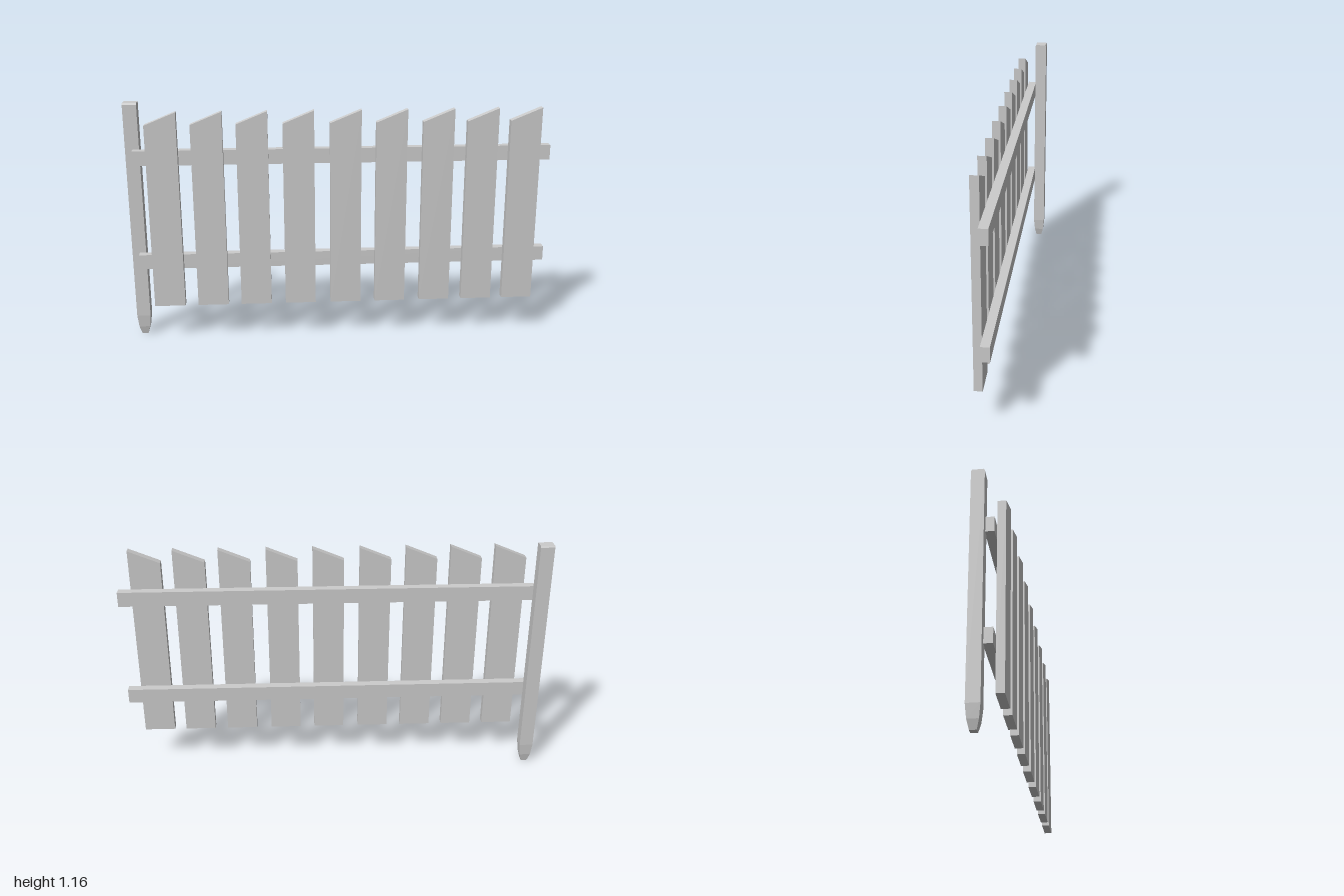
import * as THREE from 'three';

const material = new THREE.MeshStandardMaterial({ color: 0xcccccc, flatShading: true });

function addMesh(group, name, geometry, x, y, z) {
  const mesh = new THREE.Mesh(geometry, material);
  mesh.name = name;
  mesh.position.set(x, y, z);
  group.add(mesh);
}

// Square post: each section gives height and the scale of its width and depth
function postGeometry(width, depth) {
  const sections = [
    [0, 0.46, 0.5],
    [0.04, 0.8, 0.82],
    [0.1, 1, 1],
    [1.15, 1, 1],
    [1.157, 1, 0.86],
  ];
  const steps = sections.length - 1;
  const box = new THREE.BoxGeometry(width, 1, depth, 1, steps, 1);
  const pos = box.attributes.position;
  for (let i = 0; i < pos.count; i++) {
    const [y, sx, sz] = sections[Math.round((pos.getY(i) + 0.5) * steps)];
    pos.setXYZ(i, pos.getX(i) * sx, y, pos.getZ(i) * sz);
  }
  const flat = box.toNonIndexed();
  flat.computeVertexNormals();
  return flat;
}

// Board with a slanted top, rising towards +x
function picketGeometry(width, lowTop, highTop, depth) {
  const shape = new THREE.Shape([
    new THREE.Vector2(0, 0),
    new THREE.Vector2(width, 0),
    new THREE.Vector2(width, highTop),
    new THREE.Vector2(0, lowTop),
  ]);
  return new THREE.ExtrudeGeometry(shape, { depth, bevelEnabled: false });
}

export function createModel() {
  const fence = new THREE.Group();
  fence.name = 'fence';

  // Post behind the right end
  addMesh(fence, 'post', postGeometry(0.065, 0.058), -0.9675, 0, -0.037);

  // Two horizontal rails
  const rail = new THREE.BoxGeometry(1.965, 0.07, 0.04);
  addMesh(fence, 'lowerRail', rail, 0.0175, 0.395, 0.01);
  addMesh(fence, 'upperRail', rail, 0.0175, 0.905, 0.01);

  // Pickets on the front of the rails, slightly unevenly spaced
  const picket = picketGeometry(0.146, 0.886, 0.946, 0.037);
  const leftEdges = [-0.898, -0.69, -0.482, -0.268, -0.049, 0.166, 0.385, 0.593, 0.796];
  leftEdges.forEach((x, i) => addMesh(fence, `picket${i + 1}`, picket, x, 0.181, 0.03));

  return fence;
}
